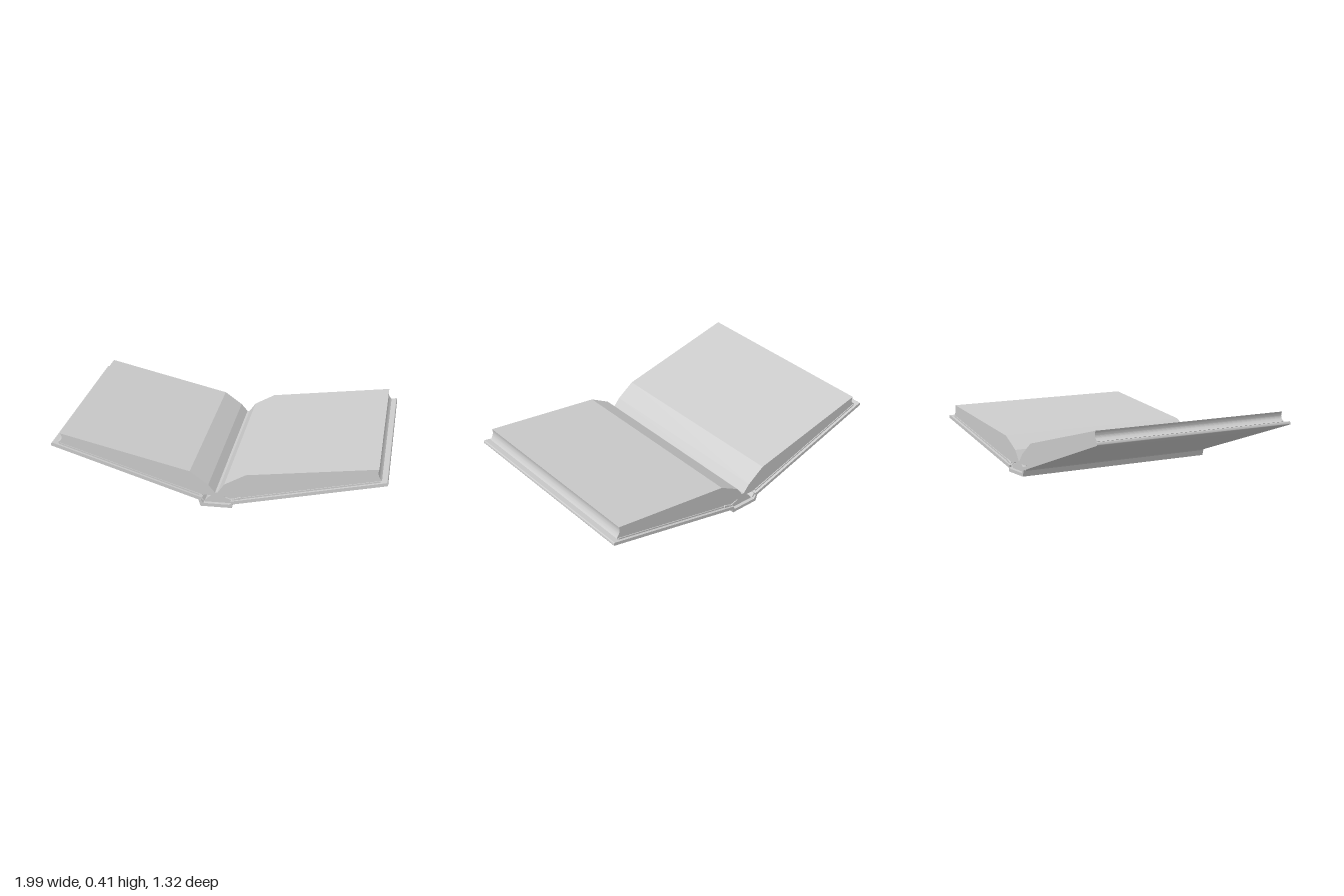
import * as THREE from 'three';
import { toCreasedNormals } from 'three/addons/utils/BufferGeometryUtils.js';

const material = new THREE.MeshStandardMaterial({ color: 0xcccccc });

// Sweeps a closed outline in the x-y plane along z, centred on z = 0
function sweep(name, shape, length) {
  let geometry = new THREE.ExtrudeGeometry(shape, { depth: length, bevelEnabled: false, curveSegments: 10 });
  geometry.translate(0, 0, -length / 2);
  geometry = toCreasedNormals(geometry, 0.2);
  const mesh = new THREE.Mesh(geometry, material);
  mesh.name = name;
  return mesh;
}

const outline = (points) => new THREE.Shape(points.map(([x, y]) => new THREE.Vector2(x, y)));

// A flat board lying on the line from a to b, with slightly rounded outer edge
function board(name, a, b, thickness, length) {
  const dir = new THREE.Vector2(b[0] - a[0], b[1] - a[1]);
  const run = dir.length();
  const s = new THREE.Shape();
  const r = thickness * 0.35;
  s.moveTo(0, 0);
  s.lineTo(run - r, 0);
  s.quadraticCurveTo(run, 0, run, r);
  s.lineTo(run, thickness - r);
  s.quadraticCurveTo(run, thickness, run - r, thickness);
  s.lineTo(0, thickness);
  const mesh = sweep(name, s, length);
  mesh.rotation.z = Math.atan2(dir.y, dir.x);
  mesh.position.set(a[0], a[1], 0);
  return mesh;
}

// Page block with a hollow fore edge; top and bottom run from gutter outwards
function pages(name, top, bottom, hollow) {
  const s = new THREE.Shape();
  s.moveTo(...top[0]);
  top.slice(1).forEach((p) => s.lineTo(...p));
  s.quadraticCurveTo(...hollow, ...bottom[bottom.length - 1]);
  bottom.slice(0, -1).reverse().forEach((p) => s.lineTo(...p));
  return sweep(name, s, 1.27);
}

// One half of the open book; side +1 is the left half, -1 the right half
function half(side, angleEnds, top, bottom, hollow) {
  const group = new THREE.Group();
  const [inner, outer] = angleEnds;
  group.add(board('cover', inner, outer, 0.02, 1.312));
  // Endpaper lining just above the cover
  const slope = (outer[1] - inner[1]) / (outer[0] - inner[0]);
  const at = (x) => [x, inner[1] + slope * (x - inner[0]) + 0.02];
  group.add(board('endpaper', at(inner[0] + 0.01), at(outer[0] - 0.045), 0.009, 1.28));
  // Loose hinge cloth under the gutter
  group.add(sweep('hinge', outline([[0.075, 0.035], [0.1, 0.035], [0.15, 0.065], [0.145, 0.075], [0.09, 0.055]]), 1.29));
  group.add(pages('pages', top, bottom, hollow));
  group.name = side > 0 ? 'leftHalf' : 'rightHalf';
  return group;
}

// Reverses x on all vertices and flips the faces so they still point outwards
function mirrorX(group) {
  group.updateMatrixWorld(true);
  group.traverse((m) => {
    if (!m.isMesh) return;
    m.geometry.applyMatrix4(m.matrix);
    m.position.set(0, 0, 0);
    m.rotation.set(0, 0, 0);
    m.geometry.scale(-1, 1, 1);
    for (const attribute of Object.values(m.geometry.attributes)) {
      const { array, itemSize: n } = attribute;
      for (let i = 0; i < array.length; i += 3 * n) {
        for (let k = 0; k < n; k++) {
          const t = array[i + n + k];
          array[i + n + k] = array[i + 2 * n + k];
          array[i + 2 * n + k] = t;
        }
      }
    }
  });
  return group;
}

export function createModel() {
  const book = new THREE.Group();
  book.name = 'openBook';

  // Spine board with upturned edges
  book.add(sweep('spine', outline([
    [-0.098, 0.005], [0.088, 0.005], [0.094, 0.03], [0.082, 0.033], [0.072, 0.025],
    [-0.082, 0.025], [-0.095, 0.045], [-0.11, 0.045],
  ]), 1.312));

  // Folded back of the page block rising from the spine
  book.add(sweep('pageFold', outline([
    [-0.08, 0.026], [0.08, 0.026], [0.085, 0.045], [0.045, 0.06], [0.015, 0.088], [-0.015, 0.088], [-0.06, 0.052],
  ]), 1.27));

  book.add(half(1, [[0.085, 0.027], [0.993, 0.22]],
    [[-0.005, 0.082], [0.04, 0.145], [0.168, 0.215], [0.937, 0.31]],
    [[0.03, 0.072], [0.08, 0.055], [0.955, 0.24]], [0.925, 0.27]));

  book.add(mirrorX(half(-1, [[0.1, 0.042], [0.995, 0.331]],
    [[0.008, 0.08], [0.055, 0.135], [0.165, 0.215], [0.94, 0.402]],
    [[0.04, 0.07], [0.09, 0.07], [0.96, 0.345]], [0.918, 0.362])));

  // The book lies very slightly askew
  book.rotation.set(-0.007, -0.006, 0);
  const model = new THREE.Group();
  model.name = 'model';
  model.add(book);
  return model;
}
